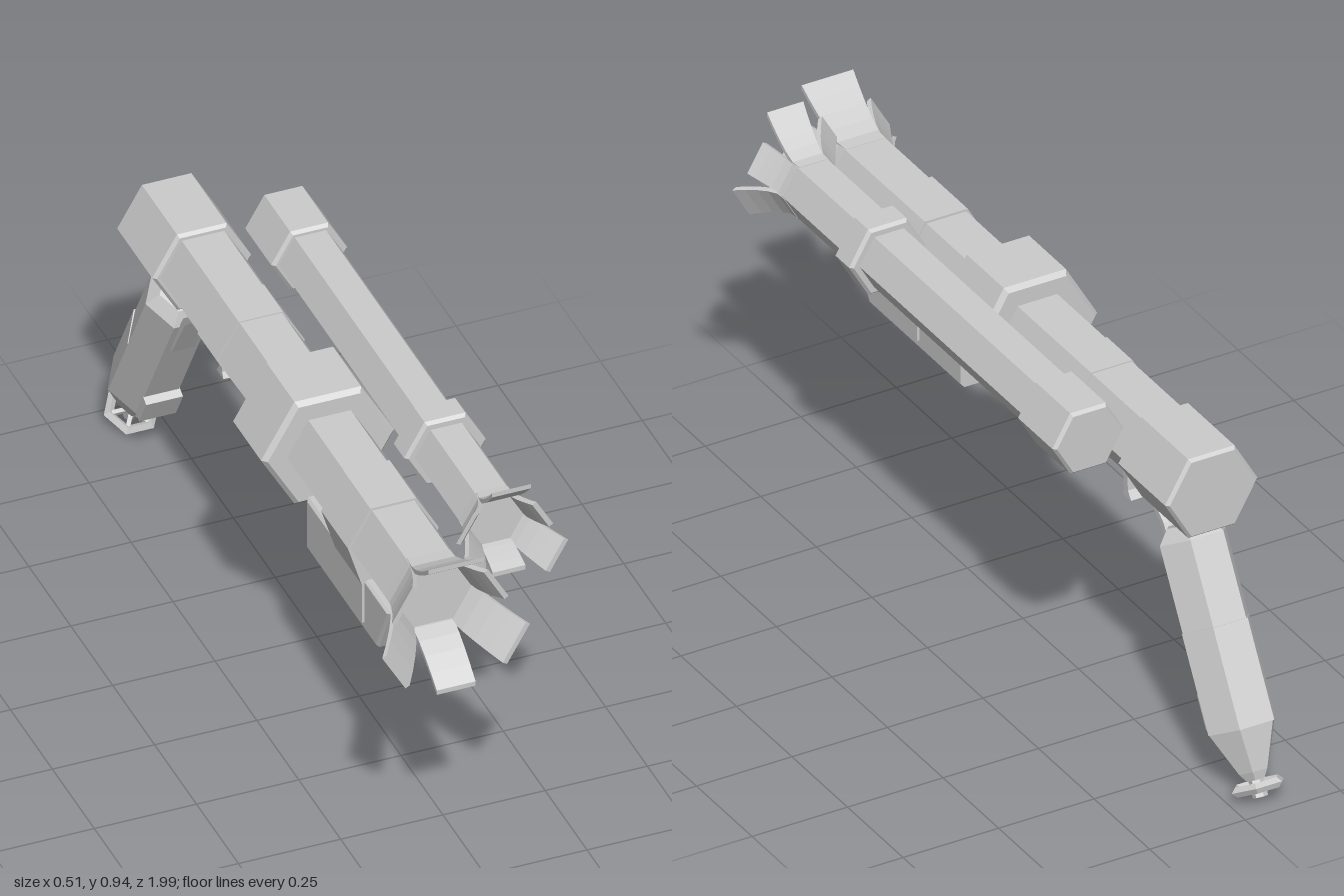
import * as THREE from 'three';

const HEX = Math.PI / 6; // puts two hexagon corners on the x axis
const mat = new THREE.MeshStandardMaterial({ color: 0xcccccc, flatShading: true });

function add(parent, name, geometry, x = 0, y = 0, z = 0) {
  const mesh = new THREE.Mesh(geometry, mat);
  mesh.name = name;
  mesh.position.set(x, y, z);
  parent.add(mesh);
  return mesh;
}

// Six-sided turned solid along y from [radius, height] pairs
function hexSolid(profile) {
  return new THREE.LatheGeometry(profile.map(([r, h]) => new THREE.Vector2(r, h)), 6, HEX);
}

// Hexagonal prism along z with chamfered ends
function hexPrism(r, z0, z1, c = 0.008) {
  return hexSolid([[0, z0], [r - c, z0], [r, z0 + c], [r, z1 - c], [r - c, z1], [0, z1]]).rotateX(Math.PI / 2);
}

// Cross-section in xy drawn out along z
function saddle(points, z0, z1) {
  const shape = new THREE.Shape(points.map(([x, y]) => new THREE.Vector2(x, y)));
  return new THREE.ExtrudeGeometry(shape, { depth: z1 - z0, bevelEnabled: false }).translate(0, 0, z0);
}

// Side profile in [z, y] drawn out across x, centred on x = 0
function sidePlate(points, width, bevel = 0) {
  const shape = new THREE.Shape(points.map(([z, y]) => new THREE.Vector2(z, y)));
  const depth = width - 2 * bevel;
  return new THREE.ExtrudeGeometry(shape, {
    depth, bevelEnabled: bevel > 0, bevelSize: bevel, bevelThickness: bevel, bevelOffset: -bevel, bevelSegments: 1,
  }).translate(0, 0, -depth / 2).rotateY(-Math.PI / 2);
}

// Muzzle flap: a thin plate bent outward and widened toward its tip
function petal(inner, reach, w0, w1, z0, z1) {
  const g = new THREE.BoxGeometry(1, 0.012, 1, 1, 1, 5);
  const p = g.attributes.position;
  for (let i = 0; i < p.count; i++) {
    const s = p.getZ(i) + 0.5;
    const bend = Math.max(0, (s - 0.15) / 0.85);
    p.setXYZ(i, p.getX(i) * THREE.MathUtils.lerp(w0, w1, s),
      p.getY(i) + inner + (reach - inner) * bend ** 1.4, z0 + (z1 - z0) * s);
  }
  return g;
}

function addPetals(parent, inner, w0, z0, list) {
  list.forEach(([reach, w1, z1], i) => {
    add(parent, 'muzzlePetal', petal(inner, reach, w0, w1, z0, z1)).rotation.z = -i * Math.PI / 3;
  });
}

export function createModel() {
  const model = new THREE.Group();
  model.name = 'twinBarrelBlaster';

  // Main barrel with rear cap, collar and flaps (clockwise from the top)
  const main = new THREE.Group();
  main.name = 'mainBarrel';
  main.position.set(-0.07, 0.715, 0);
  model.add(main);
  add(main, 'barrelTube', hexPrism(0.104, -0.6, 0.86, 0.002));
  add(main, 'rearCap', hexPrism(0.121, -0.735, -0.51));
  add(main, 'collar', hexPrism(0.163, 0.055, 0.245, 0.012));
  addPetals(main, 0.085, 0.1, 0.83, [
    [0.17, 0.135, 1], [0.13, 0.1, 0.965], [0.17, 0.112, 1],
    [0.17, 0.095, 1], [0.17, 0.114, 1], [0.13, 0.1, 0.965],
  ]);

  // Second barrel, higher and to the left
  const side = new THREE.Group();
  side.name = 'sideBarrel';
  side.position.set(0.125, 0.8, 0);
  model.add(side);
  add(side, 'barrelTube', hexPrism(0.077, -0.4, 0.76, 0.002));
  add(side, 'rearCap', hexPrism(0.093, -0.515, -0.345));
  add(side, 'collar', hexPrism(0.1, 0.388, 0.465));
  addPetals(side, 0.062, 0.072, 0.73, [
    [0.145, 0.095, 0.855], [0.095, 0.082, 0.84], [0.128, 0.09, 0.855],
    [0.088, 0.08, 0.84], [0.1, 0.085, 0.85], [0.125, 0.08, 0.85],
  ]);

  // Box slung below the main barrel by a wide strap
  add(main, 'underBox', sidePlate([[0.275, -0.1], [0.275, -0.24], [0.695, -0.24], [0.767, -0.1]], 0.14, 0.007));
  add(main, 'boxStrap', saddle([
    [-0.056, 0.096], [-0.111, 0], [-0.077, -0.11], [-0.077, -0.215],
    [0.077, -0.215], [0.077, -0.11], [0.111, 0], [0.056, 0.096],
  ], 0.465, 0.625));

  // Trigger rail, its clamp and the trigger
  add(main, 'railClamp', saddle([
    [-0.054, 0.093], [-0.108, 0], [-0.054, -0.095], [-0.04, -0.12],
    [0.04, -0.12], [0.054, -0.095], [0.108, 0], [0.054, 0.093],
  ], -0.28, -0.165));
  add(main, 'triggerRail', sidePlate([
    [-0.11, -0.096], [-0.47, -0.096], [-0.56, -0.165], [-0.64, -0.29],
    [-0.63, -0.305], [-0.55, -0.178], [-0.465, -0.111], [-0.11, -0.111],
  ], 0.055));
  add(main, 'trigger', sidePlate([
    [-0.352, -0.1], [-0.36, -0.185], [-0.352, -0.2], [-0.392, -0.2], [-0.378, -0.18], [-0.372, -0.1],
  ], 0.03));

  // Raked hexagonal handle tapering to its foot
  const grip = new THREE.Group();
  grip.name = 'grip';
  grip.position.set(-0.07, 0.4165, -0.721);
  grip.rotation.x = Math.PI / 6;
  model.add(grip);
  add(grip, 'handle', hexSolid([
    [0, -0.415], [0.024, -0.415], [0.038, -0.395], [0.086, -0.29], [0.086, 0.155], [0.058, 0.188], [0, 0.188],
  ]));
  add(grip, 'frontSleeve', saddle([
    [-0.088, 0], [0.088, 0], [0.045, -0.078], [-0.045, -0.078],
  ], 0, 0.24).rotateX(Math.PI / 2).translate(0, -0.05, 0));
  add(grip, 'frontPad', new THREE.BoxGeometry(0.09, 0.085, 0.03), 0, -0.243, 0.08);

  // Open six-sided wheel at the foot
  const wheel = new THREE.Group();
  wheel.name = 'footWheel';
  wheel.position.y = -0.431;
  grip.add(wheel);
  add(wheel, 'wheelRim', new THREE.TorusGeometry(0.056, 0.012, 4, 6).rotateX(Math.PI / 2));
  add(wheel, 'wheelHub', new THREE.CylinderGeometry(0.018, 0.018, 0.05, 6));
  for (let i = 0; i < 3; i++) {
    add(wheel, 'wheelSpoke', new THREE.BoxGeometry(0.11, 0.012, 0.01)).rotation.y = i * Math.PI / 3;
  }
  return model;
}
